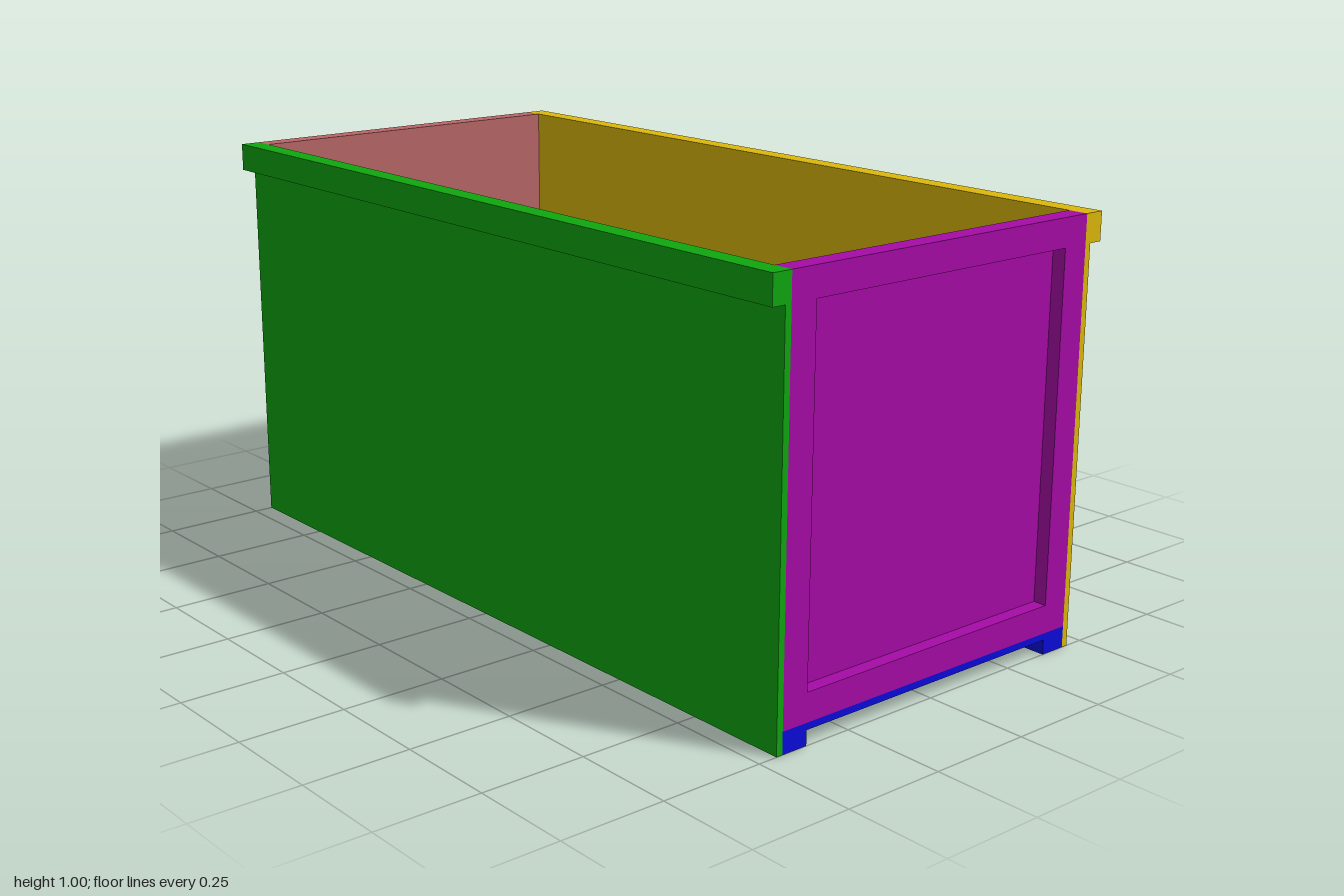
import * as THREE from 'three';

const LENGTH = 2;      // along z
const INNER = 0.437;   // half width between the side walls
const FRAME = 0.067;   // rail width, also the runner width
const SHEET = 0.016;   // thin panel thickness
const END = 0.049;     // end wall thickness

// Closed outline from [x, y] points
function outline(points, Type = THREE.Shape) {
  return new Type(points.map(([x, y]) => new THREE.Vector2(x, y)));
}

function rect(x0, x1, y0, y1, Type) {
  return outline([[x0, y0], [x1, y0], [x1, y1], [x0, y1]], Type);
}

// Extrude an outline along z, starting at z
function extrude(name, shape, z, depth, material) {
  const geometry = new THREE.ExtrudeGeometry(shape, { depth, bevelEnabled: false });
  geometry.translate(0, 0, z);
  const mesh = new THREE.Mesh(geometry, material);
  mesh.name = name;
  return mesh;
}

const paint = (color) => new THREE.MeshStandardMaterial({ color });

// Thin side wall with an outward lip along its top edge
function sideWall(name, side, color) {
  const points = [
    [INNER, 0], [INNER + SHEET, 0], [INNER + SHEET, 1 - FRAME],
    [INNER + 0.05, 1 - FRAME], [INNER + 0.05, 1], [INNER, 1],
  ].map(([x, y]) => [side * x, y]);
  return extrude(name, outline(points), -LENGTH / 2, LENGTH, paint(color));
}

// End wall: a raised frame around a recessed panel, flat on the inside
function endWall(name, color) {
  const group = new THREE.Group();
  group.name = name;
  const material = paint(color);
  const bottom = 0.051;
  const hole = [-INNER + FRAME, INNER - FRAME, bottom + FRAME, 1 - FRAME];
  const frame = rect(-INNER, INNER, bottom, 1);
  frame.holes.push(rect(...hole, THREE.Path));
  const inside = LENGTH / 2 - END;
  group.add(extrude(name + 'Frame', frame, inside, END, material));
  group.add(extrude(name + 'Panel', rect(...hole), inside, SHEET, material));
  return group;
}

export function createModel() {
  const model = new THREE.Group();
  model.name = 'openCrate';

  model.add(sideWall('leftWall', 1, 0xdcb80c));
  model.add(sideWall('rightWall', -1, 0x0fa80f));

  model.add(endWall('frontWall', 0xa60ca6));
  const back = endWall('backWall', 0xb86666);
  back.rotation.y = Math.PI;
  model.add(back);

  // Floor with a runner under each long edge
  const foot = INNER - FRAME;
  const floor = outline([
    [-INNER, 0], [-foot, 0], [-foot, 0.035], [foot, 0.035],
    [foot, 0], [INNER, 0], [INNER, 0.051], [-INNER, 0.051],
  ]);
  model.add(extrude('floor', floor, -LENGTH / 2, LENGTH, paint(0x0c0cdc)));

  return model;
}
